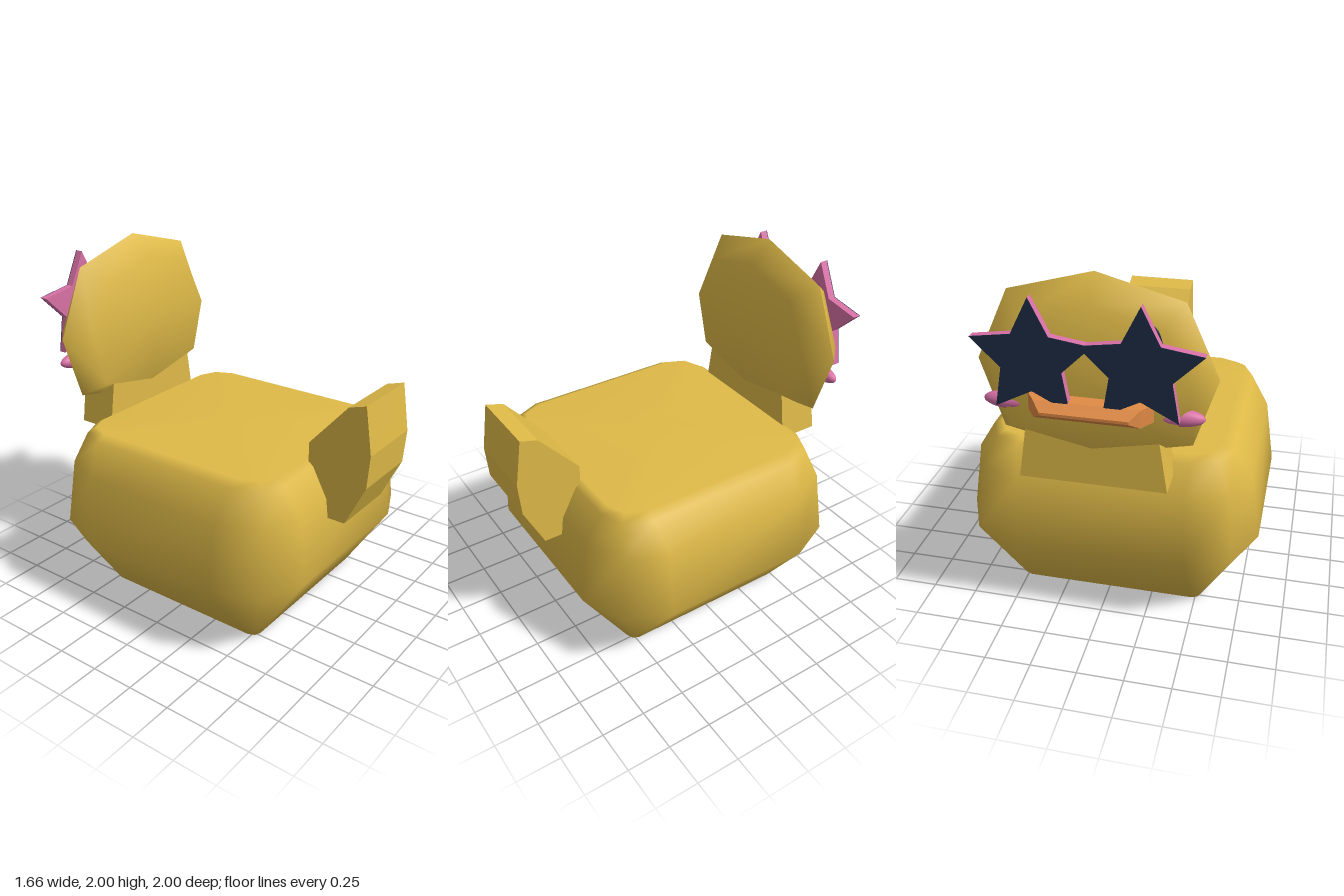
import * as THREE from 'three';

const paint = (name, color) => {
  const m = new THREE.MeshStandardMaterial({ color });
  m.name = name;
  return m;
};

// Skin between cross-sections of equal point count, closed at the ends with fans.
function loft(rings, capStart = true, capEnd = true) {
  const n = rings[0].length, pos = [], idx = [];
  rings.forEach(r => r.forEach(p => pos.push(...p)));
  for (let i = 0; i < rings.length - 1; i++) {
    for (let j = 0; j < n; j++) {
      const k = (j + 1) % n, a = i * n + j, b = i * n + k;
      idx.push(a, b, b + n, a, b + n, a + n);
    }
  }
  const cap = (i, flip) => {
    const c = pos.length / 3;
    pos.push(...[0, 1, 2].map(d => rings[i].reduce((s, p) => s + p[d], 0) / n));
    for (let j = 0; j < n; j++) {
      const a = i * n + j, b = i * n + (j + 1) % n;
      idx.push(...(flip ? [b, a, c] : [a, b, c]));
    }
  };
  if (capStart) cap(0, true);
  if (capEnd) cap(rings.length - 1, false);
  const g = new THREE.BufferGeometry();
  g.setAttribute('position', new THREE.Float32BufferAttribute(pos, 3));
  g.setIndex(idx);
  g.computeVertexNormals();
  return g;
}

const flat = g => {
  const f = g.toNonIndexed();
  f.computeVertexNormals();
  return f;
};

const polygon = pts => new THREE.Shape(pts.map(p => new THREE.Vector2(...p)));
const extrude = (shape, depth) => new THREE.ExtrudeGeometry(shape, { depth, bevelEnabled: false });

// Rectangle with rounded corners of three points each, lying at height y.
function roundedRing(y, hx, hz, r) {
  const ring = [];
  [[1, 1], [1, -1], [-1, -1], [-1, 1]].forEach(([sx, sz], q) => {
    const corner = [[hx - r, hz], [hx - r * 0.32, hz - r * 0.29], [hx, hz - r]];
    if (q % 2) corner.reverse();
    corner.forEach(([x, z]) => ring.push([sx * x, y, sz * z]));
  });
  return ring;
}

// Right half outline mirrored into a full counterclockwise ring, bottom first.
function mirroredRing(half, z) {
  const left = half.slice(1, -1).reverse().map(([x, y]) => [-x, y]);
  return [...half, ...left].map(([x, y]) => [x, y, z]);
}

function starShape(cx, cy, outer, inner) {
  const pts = [];
  for (let i = 0; i < 10; i++) {
    const a = Math.PI / 2 + i * Math.PI / 5, r = i % 2 ? inner : outer;
    pts.push([cx + r * Math.cos(a), cy + r * Math.sin(a)]);
  }
  return polygon(pts);
}

export function createModel() {
  const group = new THREE.Group();
  const yellow = paint('yellow', 0xdfba48);
  const orange = paint('orange', 0xe08a45);
  const pink = paint('pink', 0xd971a6);
  const navy = paint('navy', 0x1d2c46);

  const add = (name, geometry, material, x = 0, y = 0, z = 0) => {
    const m = new THREE.Mesh(geometry, material);
    m.name = name;
    m.position.set(x, y, z);
    group.add(m);
    return m;
  };

  // Body
  add('body', loft([
    roundedRing(0, 0.53, 0.53, 0.05),
    roundedRing(0.42, 0.83, 0.80, 0.36),
    roundedRing(0.80, 0.775, 0.755, 0.32),
    roundedRing(0.97, 0.67, 0.665, 0.2),
    roundedRing(1.0, 0.61, 0.62, 0.15),
  ]), yellow);

  // Upturned tail, profile drawn in z and y
  const tail = extrude(polygon([
    [0.64, 0.69], [0.87, 0.69], [0.985, 0.93], [1.0, 1.12],
    [0.96, 1.385], [0.86, 1.355], [0.635, 1.10],
  ]), 0.41);
  tail.rotateY(-Math.PI / 2);
  add('tail', tail, yellow, 0.205);

  // Neck
  add('neck', extrude(polygon([
    [-0.385, 0.905], [0.385, 0.905], [0.34, 1.2], [-0.34, 1.2],
  ]), 0.23), yellow, 0, 0, -0.865);

  // Head: two bevelled halves meeting in a sharp rim
  const rim = [[0, 1.02], [0.49, 1.13], [0.61, 1.5], [0.44, 1.88], [0, 2]];
  const face = [[0, 1.12], [0.4, 1.2], [0.49, 1.5], [0.35, 1.785], [0, 1.875]];
  const headHalf = loft([mirroredRing(rim, 0), mirroredRing(face, 0.122)], false, true);
  add('headBack', headHalf, yellow, 0, 0, -0.75);
  add('headFace', headHalf, yellow, 0, 0, -0.75).rotation.y = Math.PI;

  // Bill
  const billRing = (w, y0, y1, z) => [[-w, y0, z], [w, y0, z], [w, y1, z], [-w, y1, z]];
  const bill = flat(loft([
    billRing(0.33, 1.305, 1.4, 0.85),
    billRing(0.265, 1.305, 1.4, 0.95),
    billRing(0.22, 1.345, 1.36, 1.0),
  ]));
  add('bill', bill, orange).rotation.y = Math.PI;

  // Cheeks, eyes and star glasses on both sides
  const ball = new THREE.SphereGeometry(1, 24, 16);
  for (const s of [1, -1]) {
    const side = s > 0 ? 'left' : 'right';
    add(side + 'Cheek', ball, pink, s * 0.42, 1.325, -0.832).scale.set(0.14, 0.047, 0.045);
    add(side + 'Eye', ball, navy, s * 0.29, 1.64, -0.872).scale.set(0.07, 0.17, 0.012);
    const star = starShape(s * 0.265, 1.605, 0.315, 0.158);
    add(side + 'GlassesFrame', extrude(star, 0.042), pink, 0, 0, -0.95);
    add(side + 'Lens', extrude(star, 0.004), navy, 0, 0, -0.954);
  }
  return group;
}
